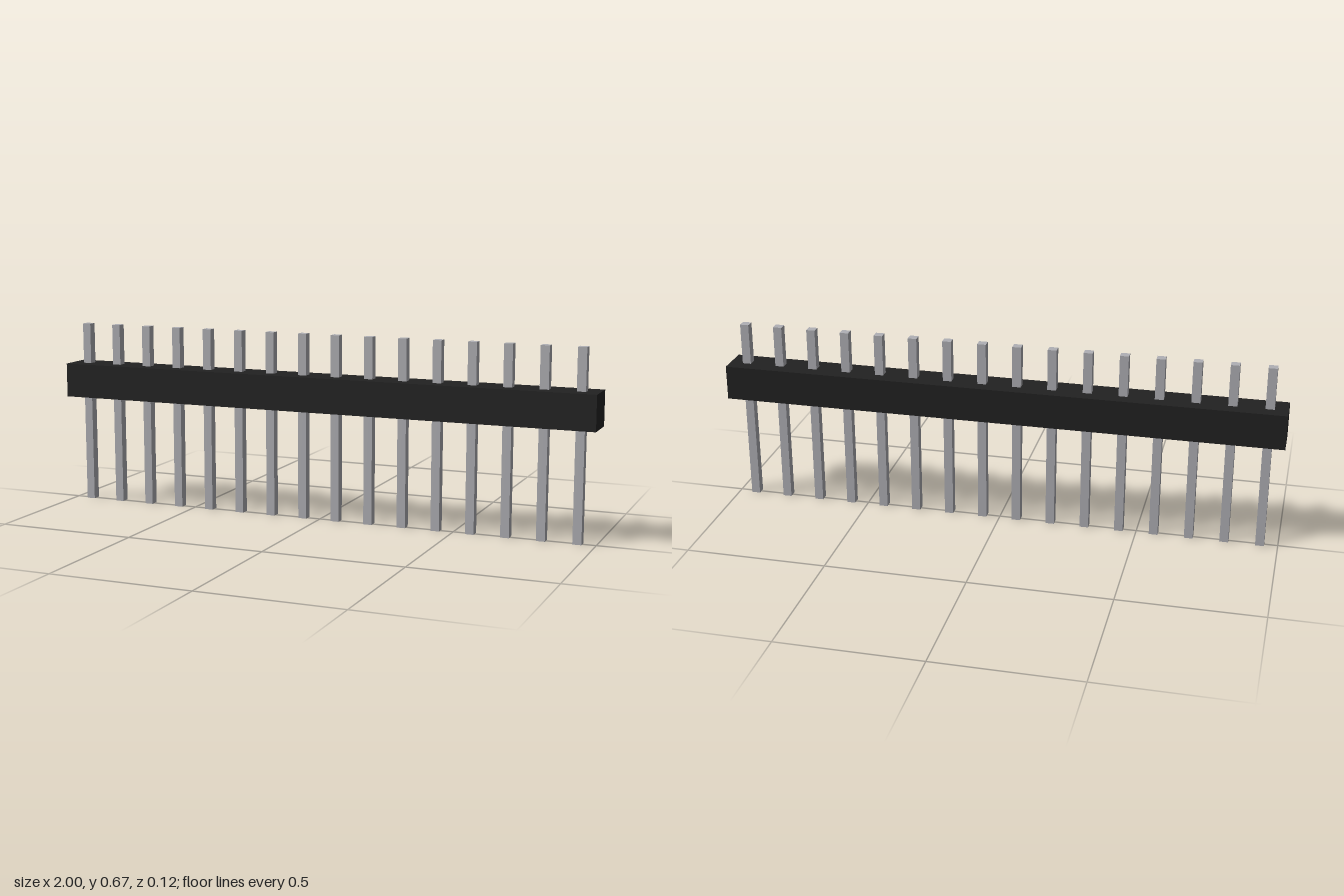
import * as THREE from 'three';

const PIN_COUNT = 16;
const PITCH = 2 / PIN_COUNT;
const PIN_WIDTH = 0.031;
const PIN_HEIGHT = 0.667;
const BODY_SIZE = 0.124;
const BODY_Y = 0.457;

export function createModel() {
  const model = new THREE.Group();
  model.name = 'pinHeader';

  const blackPlastic = new THREE.MeshStandardMaterial({ color: 0x222222 });
  blackPlastic.name = 'black plastic';
  const greyMetal = new THREE.MeshStandardMaterial({ color: 0xb0b0b5 });
  greyMetal.name = 'grey metal';

  // Plastic bar holding the pins
  const body = new THREE.Mesh(new THREE.BoxGeometry(2, BODY_SIZE, BODY_SIZE), blackPlastic);
  body.name = 'housing';
  body.position.y = BODY_Y;
  model.add(body);

  // Evenly spaced square pins running through the bar
  const pins = new THREE.Group();
  pins.name = 'pins';
  const pinGeometry = new THREE.BoxGeometry(PIN_WIDTH, PIN_HEIGHT, PIN_WIDTH);
  for (let i = 0; i < PIN_COUNT; i++) {
    const pin = new THREE.Mesh(pinGeometry, greyMetal);
    pin.name = `pin${i + 1}`;
    pin.position.set((i - (PIN_COUNT - 1) / 2) * PITCH, PIN_HEIGHT / 2, 0);
    pins.add(pin);
  }
  model.add(pins);

  return model;
}
